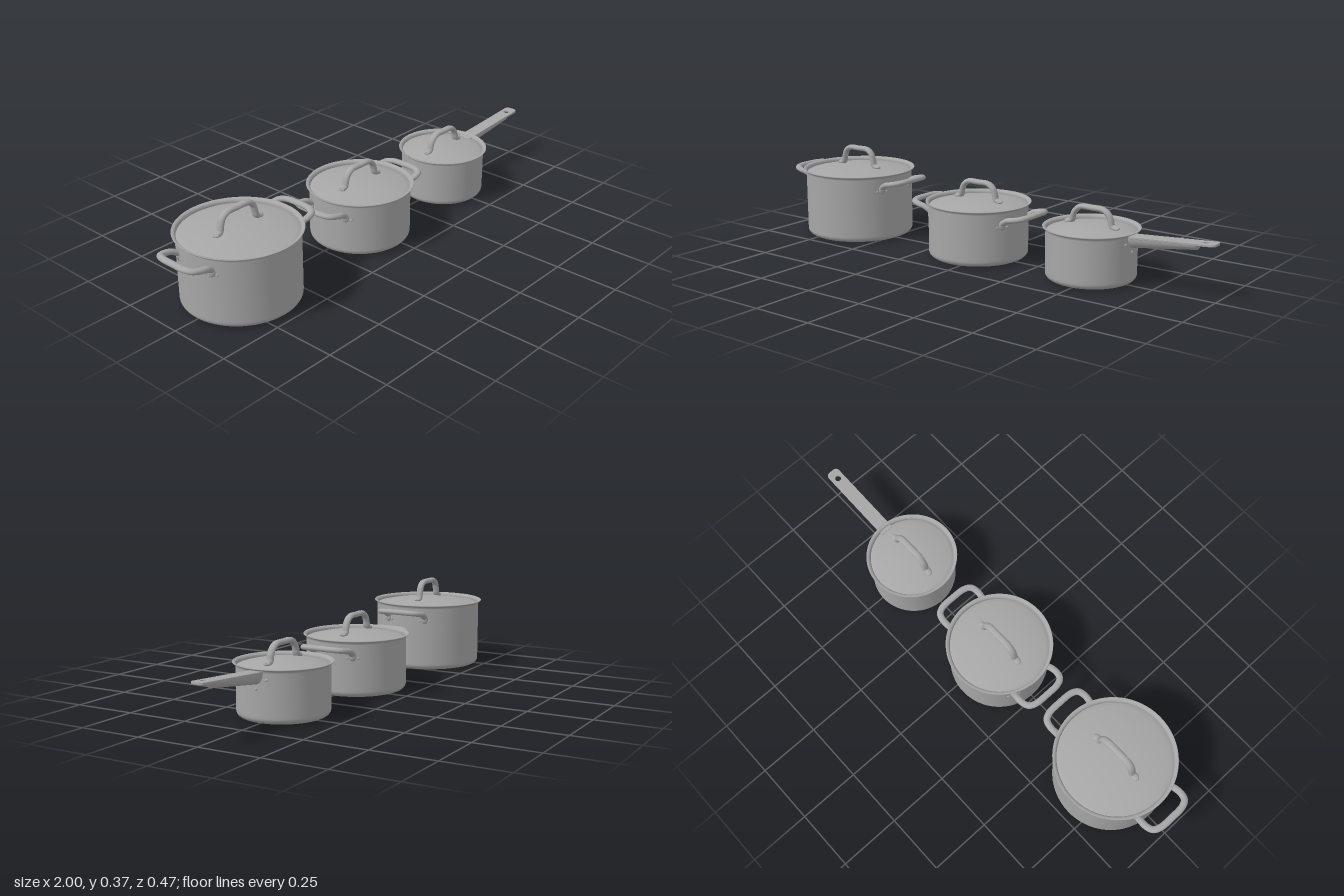
import * as THREE from 'three';

const steel = new THREE.MeshStandardMaterial({ color: 0xa6a6a6 });
steel.name = 'brushed steel';
const V = (x, y, z) => new THREE.Vector3(x, y, z);

function add(parent, name, geometry) {
  const mesh = new THREE.Mesh(geometry, steel);
  mesh.name = name;
  parent.add(mesh);
  return mesh;
}

// Sweep a cross-section along a curve; section(angle, t) gives [across, along ref]
function sweep(curve, ref, section, steps = 48, sides = 20) {
  const pos = [], index = [];
  for (let i = 0; i <= steps; i++) {
    const t = i / steps;
    const p = curve.getPointAt(t), T = curve.getTangentAt(t);
    const B = ref.clone().addScaledVector(T, -ref.dot(T)).normalize();
    const N = B.clone().cross(T);
    for (let j = 0; j < sides; j++) {
      const [n, b] = section((j / sides) * Math.PI * 2, t);
      const q = p.clone().addScaledVector(N, n).addScaledVector(B, b);
      pos.push(q.x, q.y, q.z);
      if (i === steps) continue;
      const a = i * sides + j, c = i * sides + (j + 1) % sides;
      index.push(a, c, a + sides, c, c + sides, a + sides);
    }
  }
  const g = new THREE.BufferGeometry();
  g.setAttribute('position', new THREE.Float32BufferAttribute(pos, 3));
  g.setIndex(index);
  g.computeVertexNormals();
  return g;
}
const oval = (n, b) => (a) => [n * Math.cos(a), b * Math.sin(a)];

// Squashed dome on the pot wall, used for rivets and handle feet
function wallButton(parent, name, r, z, y, height, width, depth) {
  const m = add(parent, name, new THREE.SphereGeometry(1, 16, 10));
  const angle = Math.asin(z / r);
  m.scale.set(depth, height, width);
  m.position.set(r * Math.cos(angle), y, z);
  m.rotation.y = -angle;
}

// Pot body: rounded base, straight wall, flared pouring rim, inner wall
function potBody(r, h) {
  const pts = [[0, 0], [r - 0.027, 0]];
  for (let i = 0; i <= 8; i++) {
    const a = (i / 8) * Math.PI / 2;
    pts.push([r - 0.025 + 0.025 * Math.sin(a), 0.0005 + 0.0225 * (1 - Math.cos(a))]);
  }
  pts.push([r, 0.03], [r, h - 0.016], [r + 0.001, h - 0.011], [r + 0.004, h - 0.007],
    [r + 0.011, h - 0.004], [r + 0.0125, h - 0.002], [r + 0.011, h],
    [r + 0.003, h - 0.002], [r - 0.002, h - 0.007], [r - 0.004, h - 0.014],
    [r - 0.004, 0.03], [r - 0.025, 0.006], [0, 0.006]);
  return new THREE.LatheGeometry(pts.map(([x, y]) => new THREE.Vector2(x, y)), 72);
}

// Shallow domed lid, with its edge sunk inside the rim
const lidY = (r, h, x) => h + 0.009 * (1 - (x / (0.58 * r)) ** 2);
function lidDome(r, h) {
  const edge = r - 0.004, pts = [new THREE.Vector2(edge, lidY(r, h, edge) - 0.004)];
  for (let i = 12; i >= 0; i--) {
    const x = edge * i / 12;
    pts.push(new THREE.Vector2(x, lidY(r, h, x)));
  }
  return new THREE.LatheGeometry(pts, 72);
}

// Arched lid handle with flat feet and rivets
function lidHandle(parent, r, h, top) {
  const base = lidY(r, h, 0.1) + 0.003, y = top - 0.011;
  const path = new THREE.CatmullRomCurve3([
    V(-0.105, base, 0), V(-0.088, base + 0.006, 0), V(-0.081, base + 0.03, 0),
    V(-0.072, y - 0.018, 0), V(-0.05, y - 0.002, 0), V(0, y, 0),
    V(0.05, y - 0.002, 0), V(0.072, y - 0.018, 0), V(0.081, base + 0.03, 0),
    V(0.088, base + 0.006, 0), V(0.105, base, 0)]);
  add(parent, 'lidHandle', sweep(path, V(0, 0, 1), oval(0.011, 0.0145), 72));
  for (const s of [-1, 1]) {
    const foot = add(parent, 'lidHandleFoot', new THREE.SphereGeometry(1, 16, 10));
    foot.scale.set(0.017, 0.006, 0.0145);
    foot.position.set(s * 0.102, base, 0);
    const rivet = add(parent, 'lidRivet', new THREE.SphereGeometry(1, 12, 8));
    rivet.scale.set(0.005, 0.004, 0.005);
    rivet.position.set(s * 0.113, base + 0.003, 0);
  }
}

// Looped side handle rising away from the wall
function loopHandle(parent, r, h) {
  const g = new THREE.Group();
  g.name = 'sideHandle';
  parent.add(g);
  const half = [[r - 0.022, h - 0.055, 0.085], [r + 0.005, h - 0.038, 0.091],
    [r + 0.035, h - 0.031, 0.092], [r + 0.06, h - 0.026, 0.083], [r + 0.073, h - 0.023, 0.058]];
  const path = new THREE.CatmullRomCurve3([
    ...half.map(([x, y, z]) => V(x, y, -z)), V(r + 0.076, h - 0.022, 0),
    ...half.reverse().map(([x, y, z]) => V(x, y, z))]);
  add(g, 'sideHandleLoop', sweep(path, V(0, 1, 0), oval(0.0135, 0.011), 72));
  for (const s of [-1, 1]) {
    wallButton(g, 'sideHandleFoot', r, s * 0.087, h - 0.06, 0.02, 0.015, 0.008);
    for (const dz of [-0.02, 0.02])
      wallButton(g, 'sideRivet', r, s * 0.087 + dz, h - 0.068, 0.005, 0.005, 0.004);
  }
  return g;
}

// Long handle: flat strap with a hanging hole over a tapering keel
function longHandle(parent, r) {
  const g = new THREE.Group();
  g.name = 'longHandle';
  g.position.set(r - 0.016, 0.184, 0);
  g.rotation.z = 0.07;
  parent.add(g);
  const len = 0.354, w = 0.026, c = 0.018;
  const shape = new THREE.Shape();
  shape.moveTo(0, -w);
  shape.lineTo(len - c, -w);
  shape.quadraticCurveTo(len, -w, len, -w + c);
  shape.lineTo(len, w - c);
  shape.quadraticCurveTo(len, w, len - c, w);
  shape.lineTo(0, w);
  const hole = new THREE.Path();
  hole.absarc(len - 0.042, 0, 0.014, 0, Math.PI * 2, true);
  shape.holes.push(hole);
  const strap = new THREE.ExtrudeGeometry(shape, { depth: 0.006, bevelThickness: 0.002,
    bevelSize: 0.002, bevelSegments: 2, curveSegments: 20 });
  strap.rotateX(-Math.PI / 2);
  add(g, 'longHandleStrap', strap);

  const keel = new THREE.LineCurve3(V(0, 0.001, 0), V(0.295, 0.001, 0));
  const section = (a, t) => {
    const depth = (0.042 - 0.02 * t) * Math.min(1, (1 - t) / 0.06);
    const n = Math.cos(a), b = Math.sin(a);
    return [0.027 * Math.sign(n) * Math.abs(n) ** 1.2, b > 0 ? 0 : depth * b];
  };
  add(g, 'longHandleKeel', sweep(keel, V(0, 1, 0), section, 50, 24));

  for (const [z, y] of [[-0.04, 0.162], [0.04, 0.162], [0, 0.128]])
    wallButton(parent, 'longHandleRivet', r, z, y, 0.006, 0.006, 0.005);
}

export function createModel() {
  const model = new THREE.Group();
  model.name = 'cookwareSet';
  const pots = [
    { name: 'stockPot', x: -0.685, r: 0.225, h: 0.283, top: 0.374 },
    { name: 'casserole', x: -0.041, r: 0.2, h: 0.225, top: 0.309 },
    { name: 'saucepan', x: 0.488, r: 0.173, h: 0.202, top: 0.281, long: true },
  ];
  for (const { name, x, r, h, top, long } of pots) {
    const pot = new THREE.Group();
    pot.name = name;
    pot.position.x = x;
    model.add(pot);
    add(pot, 'potBody', potBody(r, h));
    add(pot, 'lid', lidDome(r, h));
    lidHandle(pot, r, h, top);
    if (long) longHandle(pot, r);
    else for (const turn of [0, Math.PI]) loopHandle(pot, r, h).rotation.y = turn;
  }
  return model;
}
